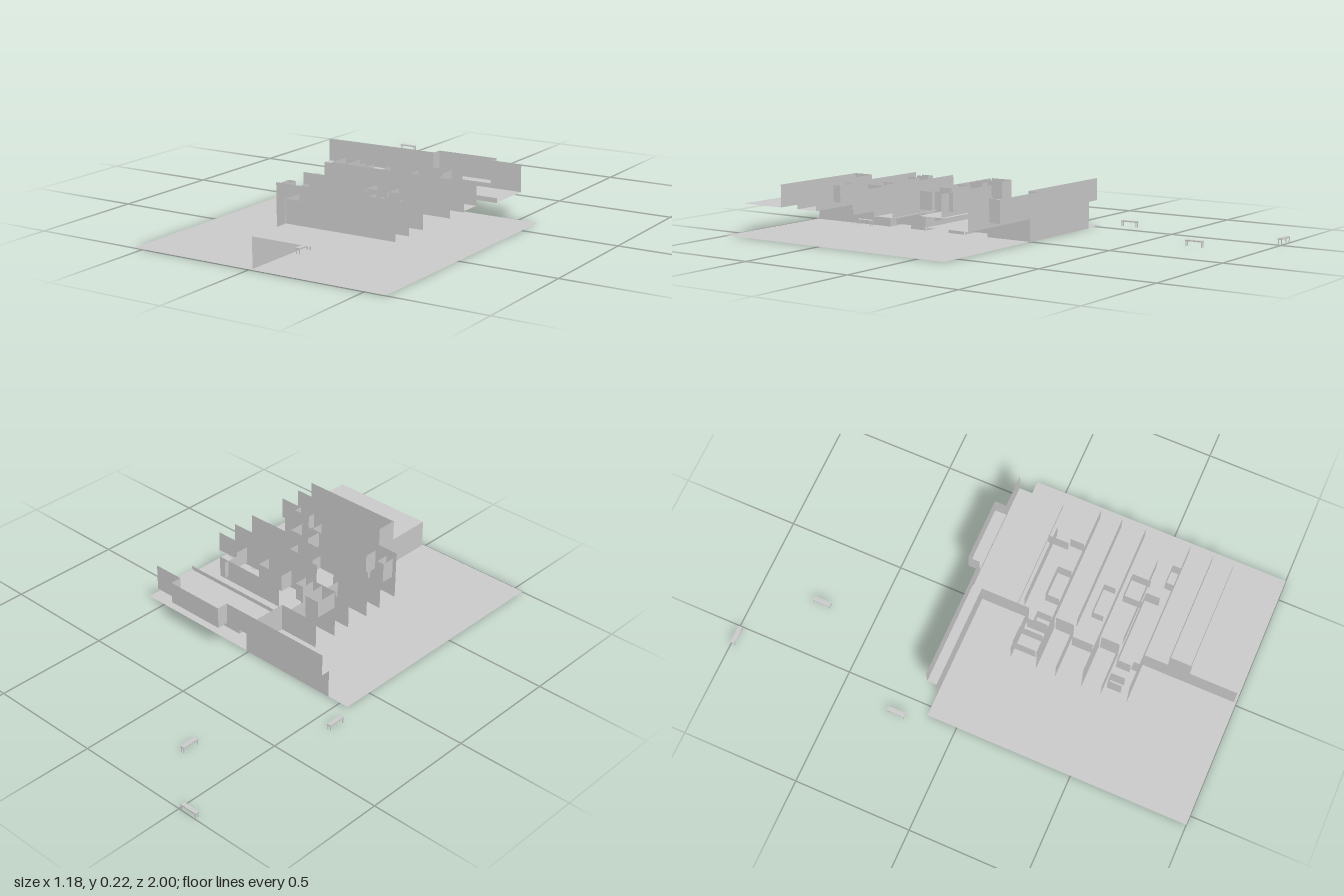
import * as THREE from 'three';

const mat = new THREE.MeshStandardMaterial({ color: 0xcccccc, side: THREE.DoubleSide, flatShading: true });

export function createModel() {
  const model = new THREE.Group();

  const add = (name, geo, x, y, z, parent = model) => {
    const m = new THREE.Mesh(geo, mat);
    m.name = name;
    m.position.set(x, y, z);
    parent.add(m);
    return m;
  };
  // thin wall facing front or back
  const wallX = (name, x0, x1, z, y0, y1) =>
    add(name, new THREE.PlaneGeometry(x1 - x0, y1 - y0), (x0 + x1) / 2, (y0 + y1) / 2, z);
  // thin wall facing sideways
  const wallZ = (name, x, z0, z1, y0, y1) =>
    add(name, new THREE.PlaneGeometry(z1 - z0, y1 - y0).rotateY(Math.PI / 2), x, (y0 + y1) / 2, (z0 + z1) / 2);
  // thin level floor
  const floor = (name, x0, x1, z0, z1, y) =>
    add(name, new THREE.PlaneGeometry(x1 - x0, z1 - z0).rotateX(-Math.PI / 2), (x0 + x1) / 2, y, (z0 + z1) / 2);
  // three-sided upper partition, open to the front
  const niche = (name, x0, x1, z0, z1, y0, y1) => {
    wallX(name + 'Back', x0, x1, z0, y0, y1);
    for (const x of [x0, x1]) wallZ(name + 'Side', x, z0, z1, y0, y1);
  };

  const L = 0.01, R = 0.49, MID = 0.125, TOP = 0.22;

  floor('ground', -0.54, 0.59, -0.13, 1, 0.002);

  // lower side walls between the bays
  for (const [z0, z1, h] of [[0.59, 0.99, MID], [0.4, 0.48, 0.13], [0.2, 0.28, 0.14], [-0.13, 0.08, MID]])
    wallZ('lowerSideWall', L, z0, z1, 0, h);

  // front terrace, front block and balcony behind it
  floor('frontTerrace', L, R, 0.78, 0.99, MID);
  wallX('frontBlockWall', L, R, 0.78, MID, TOP);
  wallX('frontBlockRearWall', L, R, 0.69, MID, TOP);
  wallZ('frontBlockEnd', L, 0.69, 0.785, MID, TOP);
  floor('frontBalcony', L, R, 0.59, 0.69, MID);

  // cross walls: lower fin on one side, upper wall on the other
  for (const [z, x0] of [[0.59, -0.17], [0.395, -0.18], [0.195, -0.18]]) {
    wallX('crossWallFin', x0, L, z, 0, TOP);
    wallX('crossWallUpper', L, R, z, MID, TOP);
  }
  for (const z of [0.48, 0.28, 0.08]) wallX('lowFin', -0.18, L, z, 0, MID);
  wallX('upperWall', L, R, 0.29, MID, TOP);
  wallX('upperWall', L, 0.38, 0.49, MID, TOP);
  wallX('upperWall', L, 0.35, 0.06, MID, TOP);
  floor('middleBalcony', L, R, 0.19, 0.28, 0.13);
  floor('middleBalcony', L, 0.39, 0.41, 0.48, 0.13);

  // recessed bay panels and bay floors
  for (const z of [0.5, 0.29, 0.09]) wallZ('bayPanel', -0.03, z, z + 0.09, 0.01, 0.115);
  floor('bayFloor', -0.08, 0.23, 0.5, 0.56, 0.12);
  floor('bayFloor', L, 0.36, 0.34, 0.38, 0.13);
  floor('bayFloor', L, 0.33, 0.06, 0.19, 0.12);

  // upper room partitions
  niche('partition', -0.175, -0.14, 0.5, 0.56, 0.12, 0.21);
  niche('partition', -0.08, 0.23, 0.5, 0.56, 0.12, 0.21);
  niche('partition', 0.3, 0.38, 0.555, 0.59, 0.15, TOP);
  niche('partition', 0.18, 0.28, 0.42, 0.5, 0.15, TOP);
  niche('partition', 0.07, 0.2, 0.33, 0.38, 0.14, 0.2);
  niche('partition', -0.18, -0.11, 0.09, 0.19, 0.145, TOP);
  niche('partition', -0.06, -0.02, 0.13, 0.19, 0.145, TOP);
  niche('partition', 0.06, 0.19, 0.13, 0.19, 0.145, TOP);
  wallZ('partitionSide', 0.3, 0.04, 0.13, 0.145, TOP);
  wallZ('partitionSide', 0.32, 0.13, 0.19, 0.145, TOP);

  // rear room: sunken floor with raised rim, and ledge
  floor('rearFloor', L, R, -0.17, 0.03, 0.107);
  wallZ('rearFloorRim', L, -0.17, 0.05, 0.105, MID);
  wallX('rearFloorRim', L, R, 0.03, 0.105, MID);
  wallX('rearLowerWall', -0.44, L, -0.13, 0, MID);
  floor('rearLedge', -0.44, L, -0.17, -0.13, MID);
  wallX('rearUpperWall', -0.44, 0.08, -0.17, MID, TOP);
  wallX('rearUpperWall', 0.35, R, -0.17, 0.105, TOP);
  wallX('rearRim', L, 0.35, -0.17, 0.105, MID);

  // projecting rear bay
  wallX('rearBayWall', 0.08, 0.35, -0.22, MID, TOP);
  for (const x of [0.08, 0.35]) wallZ('rearBaySide', x, -0.22, -0.17, MID, TOP);
  floor('rearBayFloor', 0.08, 0.35, -0.22, -0.17, MID);

  // benches
  for (const [x, z, along] of [[-0.547, -0.99, 0], [-0.275, -0.73, 1], [-0.583, -0.248, 1], [0.037, 0.708, 1]]) {
    const bench = new THREE.Group();
    bench.name = 'bench';
    add('benchSeat', new THREE.BoxGeometry(0.076, 0.005, 0.019), 0, 0.0235, 0, bench);
    for (const sx of [-1, 1]) for (const sz of [-1, 1])
      add('benchLeg', new THREE.BoxGeometry(0.003, 0.021, 0.003), sx * 0.035, 0.0105, sz * 0.007, bench);
    bench.position.set(x, 0, z);
    bench.rotation.y = along * Math.PI / 2;
    model.add(bench);
  }
  return model;
}
